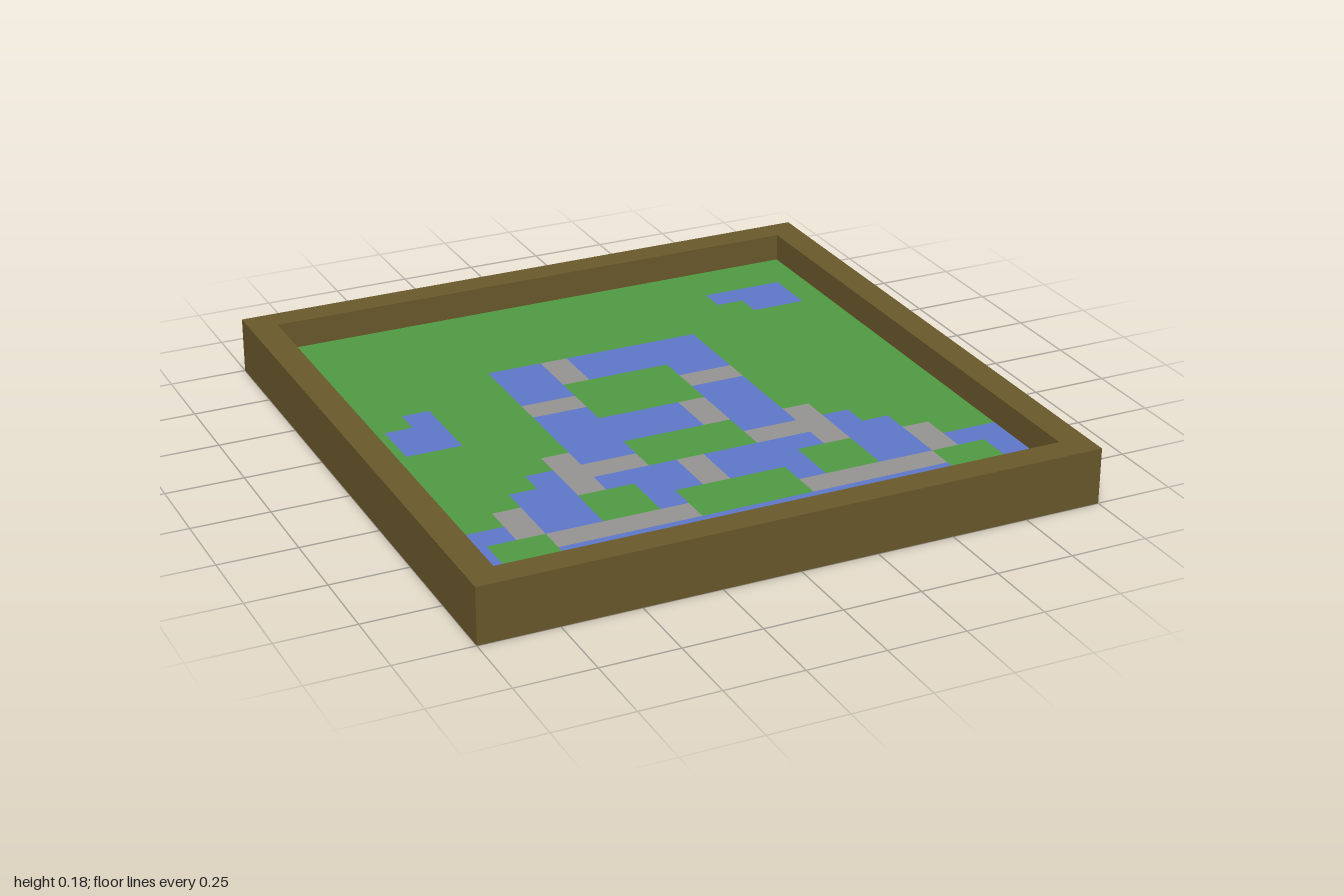
import * as THREE from 'three';
import { mergeGeometries } from 'three/addons/utils/BufferGeometryUtils.js';

const CELL = 1 / 11;        // the tray is 22 x 22 cells
const FLOOR = CELL;         // floor thickness
const HEIGHT = 2 * CELL;    // rim height

// Floor plan, back row first: . grass, w water, s stone path
const PLAN = [
  '....................',
  '....................',
  '................www.',
  '.................ww.',
  '....................',
  '......wwswwwww......',
  '......wwswwwww......',
  '..w...ww....ww......',
  '.ww...ss....ss......',
  '.ww...ww....ww......',
  '......wwwwwsww......',
  '......wwwwwsww......',
  '.....sww....wws.....',
  '....wsss....sssw....',
  '...wwswwwswwwwsww...',
  '..sww..wwswww..wws..',
  'wwsww..w....w..wwsww',
  'w..sssss....sssss..w',
  'w..wwwwwwwwwwwwww..w',
  'wwwwwwwwwwwwwwwwwwww',
];

const TILES = {
  '.': { name: 'grass', color: 0x519c43 },
  w: { name: 'water', color: 0x5f78cc },
  s: { name: 'stonePath', color: 0x979694 },
};

// One slab covering a run of equal cells in a row
function slab(col, row, length) {
  return new THREE.BoxGeometry(length * CELL, FLOOR, CELL).translate(
    (col + length / 2 - 10) * CELL, FLOOR / 2, (row + 0.5 - 10) * CELL);
}

function square(half, Type) {
  return new Type([[-1, -1], [1, -1], [1, 1], [-1, 1]].map(
    ([x, y]) => new THREE.Vector2(x * half, y * half)));
}

export function createModel() {
  const group = new THREE.Group();
  group.name = 'tileTray';

  const add = (name, geometry, color) => {
    const mesh = new THREE.Mesh(geometry, new THREE.MeshStandardMaterial({ color }));
    mesh.name = name;
    group.add(mesh);
  };

  // Raised square rim
  const outline = square(1, THREE.Shape);
  outline.holes.push(square(1 - CELL, THREE.Path));
  const rim = new THREE.ExtrudeGeometry(outline, { depth: HEIGHT, bevelEnabled: false });
  add('rim', rim.rotateX(-Math.PI / 2), 0x6b5a2c);

  // Floor tiles, gathered into one mesh per material
  for (const [key, { name, color }] of Object.entries(TILES)) {
    const slabs = [];
    PLAN.forEach((line, row) => {
      for (let col = 0; col < line.length; col++) {
        const start = col;
        while (line[col] === key) col++;
        if (col > start) slabs.push(slab(start, row, col - start));
      }
    });
    add(name, mergeGeometries(slabs), color);
  }
  return group;
}
